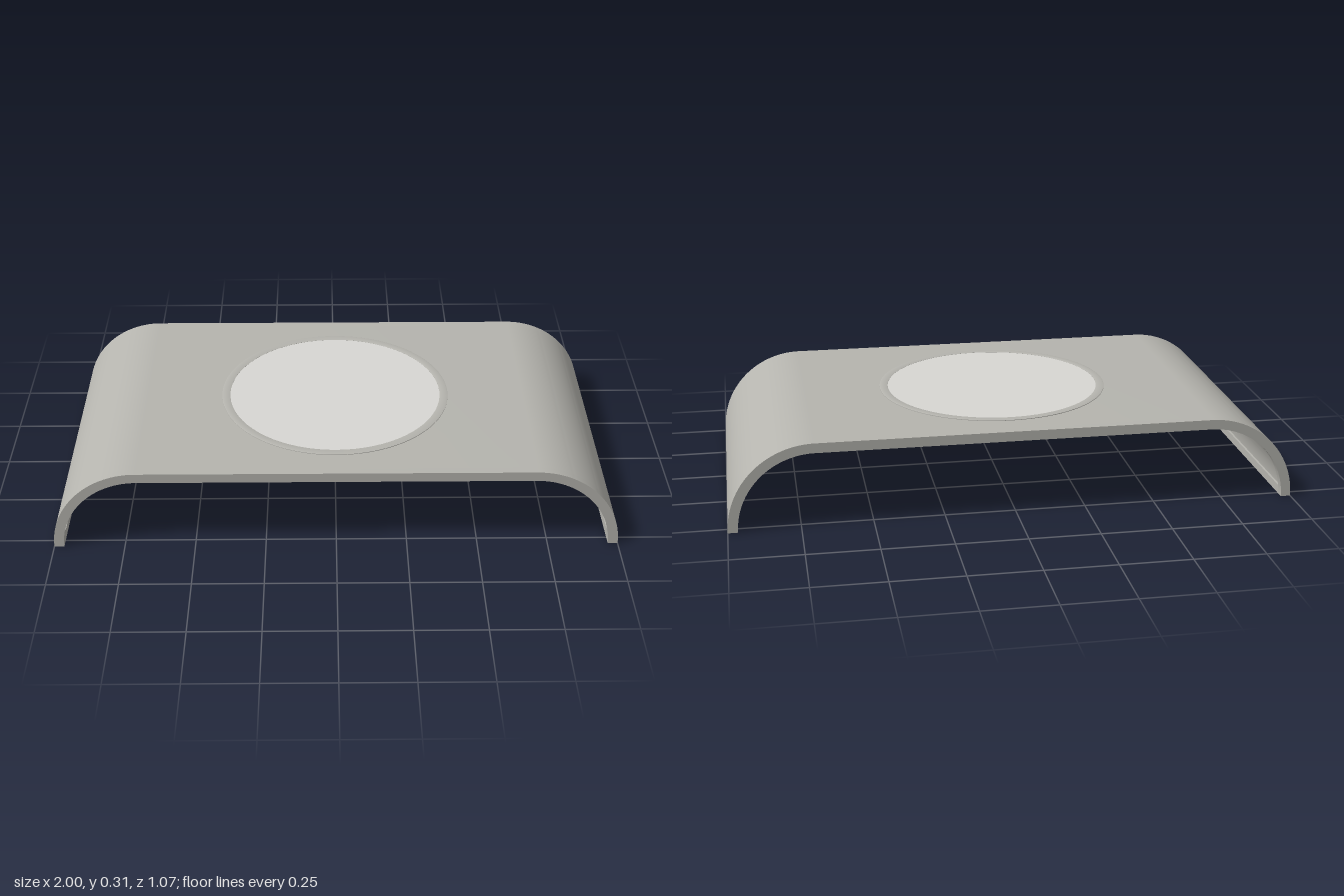
import * as THREE from 'three';
import { toCreasedNormals } from 'three/addons/utils/BufferGeometryUtils.js';

const HALF_DEPTH = 0.534;
const RIM = 0.03;      // width of the border under the shell
const TOP = 0.307;
const R = 0.305;       // outer bend radius
const CX = 1 - R;      // bend centre
const CY = TOP - R;

// Arched strip of constant thickness, extruded along z
function archGeometry(thickness, z0, z1) {
  const s = new THREE.Shape();
  const r = R - thickness;
  s.moveTo(1, 0);
  s.lineTo(1, CY);
  s.absarc(CX, CY, R, 0, Math.PI / 2, false);
  s.lineTo(-CX, TOP);
  s.absarc(-CX, CY, R, Math.PI / 2, Math.PI, false);
  s.lineTo(-1, 0);
  s.lineTo(-1 + thickness, 0);
  s.lineTo(-1 + thickness, CY);
  s.absarc(-CX, CY, r, Math.PI, Math.PI / 2, true);
  s.lineTo(CX, TOP - thickness);
  s.absarc(CX, CY, r, Math.PI / 2, 0, true);
  s.lineTo(1 - thickness, 0);
  s.closePath();
  const g = new THREE.ExtrudeGeometry(s, { depth: z1 - z0, bevelEnabled: false, curveSegments: 24 });
  g.translate(0, 0, z0);
  return toCreasedNormals(g, 0.4);
}

export function createModel() {
  const group = new THREE.Group();
  const shellGrey = new THREE.MeshStandardMaterial({ color: 0xb5b4ae });
  shellGrey.name = 'warm grey';
  const discGrey = new THREE.MeshStandardMaterial({ color: 0xd8d7d3 });
  discGrey.name = 'light grey';

  const add = (name, geometry, material, x = 0, y = 0, z = 0) => {
    const m = new THREE.Mesh(geometry, material);
    m.name = name;
    m.position.set(x, y, z);
    group.add(m);
    return m;
  };

  // Thin bent shell with a thicker border along its long edges
  const inner = HALF_DEPTH - RIM;
  add('shell', archGeometry(0.026, -inner, inner), shellGrey);
  add('frontRim', archGeometry(0.035, inner, HALF_DEPTH), shellGrey);
  add('backRim', archGeometry(0.035, -HALF_DEPTH, -inner), shellGrey);

  // Border along the feet
  for (const side of [1, -1]) {
    add(side > 0 ? 'leftFootLip' : 'rightFootLip',
      new THREE.BoxGeometry(0.025, RIM, inner * 2), shellGrey, side * 0.9775, RIM / 2, 0);
  }

  // Slim ring standing just proud of both faces of the shell
  const profile = [[0.39, 0.276], [0.417, 0.276], [0.42, 0.278], [0.42, 0.309],
    [0.417, 0.31], [0.393, 0.31], [0.39, 0.309], [0.39, 0.276]]
    .map(([x, y]) => new THREE.Vector2(x, y));
  add('discRing', toCreasedNormals(new THREE.LatheGeometry(profile, 72), 0.4), shellGrey);

  // Round inset, seen from above and below
  add('disc', toCreasedNormals(new THREE.CylinderGeometry(0.391, 0.391, 0.03, 72), 0.4), discGrey, 0, 0.2935, 0);

  return group;
}
